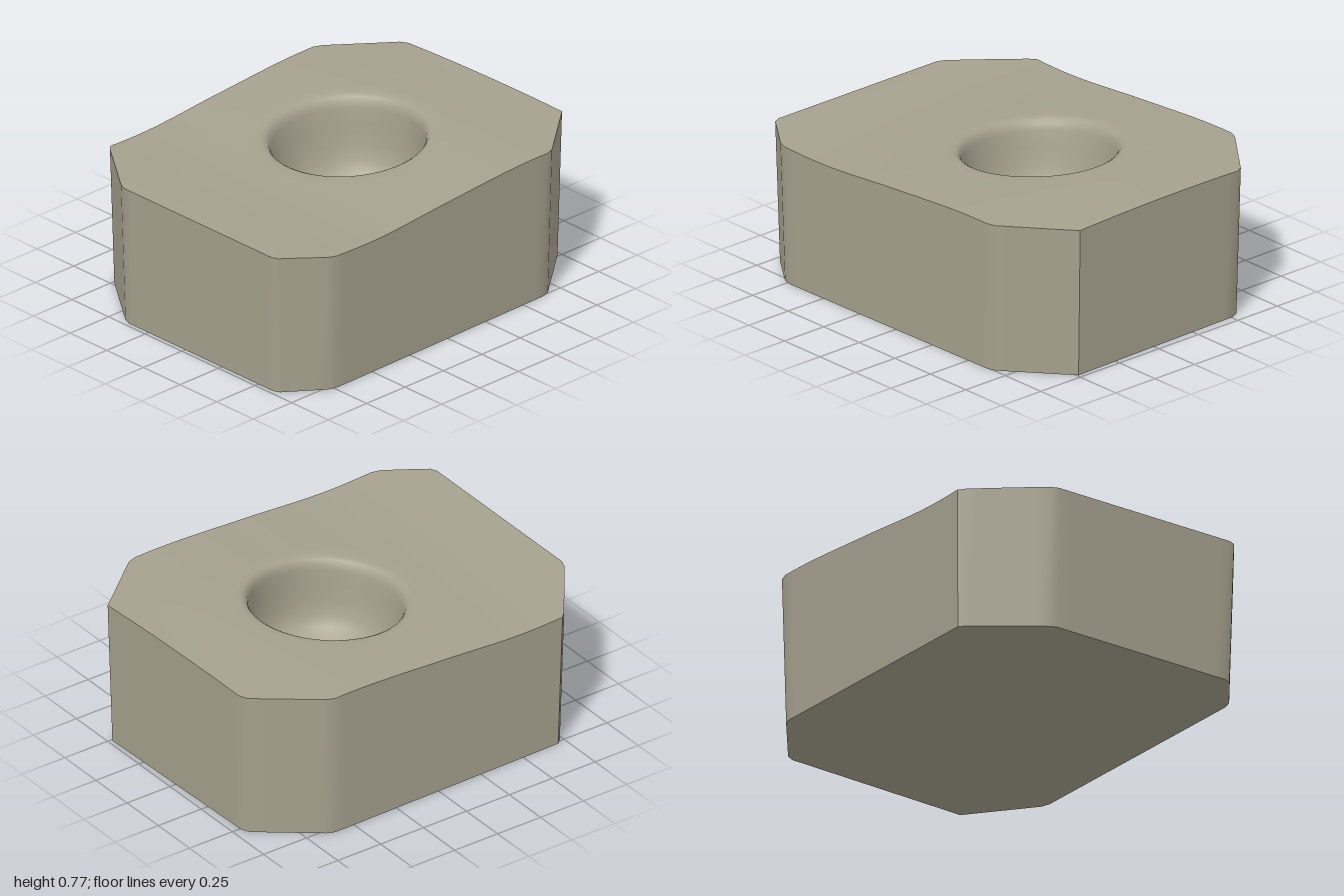
import * as THREE from 'three';
import { toCreasedNormals } from 'three/addons/utils/BufferGeometryUtils.js';

// Top outline of the block as [x, z], with softened corners
const OUTLINE = [
  [-0.72, -0.78], [0.62, -0.803], [0.665, -0.785], [0.955, -0.56], [0.975, -0.52],
  [1.0, 0.5], [0.69, 0.757], [0.645, 0.772], [-0.75, 0.797], [-0.795, 0.783],
  [-0.985, 0.645], [-1.0, 0.61], [-1.0, -0.39], [-0.985, -0.43], [-0.75, -0.752],
];
const RIM = new THREE.Vector2(0.115, -0.04);
const FLOOR = new THREE.Vector2(0.14, 0);

// Cup cross-section: radius and depth below the top surface
const CUP = [
  [0.42, 0], [0.4, 0.004], [0.385, 0.013], [0.373, 0.03], [0.366, 0.06], [0.36, 0.14],
  [0.35, 0.24], [0.335, 0.31], [0.31, 0.36], [0.26, 0.405], [0.19, 0.435], [0.1, 0.452], [0, 0.458],
];

// Gentle S-curve of the top, sagging slightly to front and back
const wave = new THREE.SplineCurve([[-1, 0.715], [-0.5, 0.703], [0, 0.739], [0.5, 0.77], [1, 0.762]]
  .map(([x, y]) => new THREE.Vector2(x, y)));
const topHeight = (x, z) =>
  wave.getPoint(THREE.MathUtils.clamp((x + 1) / 2, 0, 1)).y - 0.025 * z * z * (x + 1) / 1.5;

// Subdivide the outline so the curved top edge is smooth
function outlinePoints() {
  const pts = [];
  OUTLINE.forEach(([x, z], i) => {
    const [x2, z2] = OUTLINE[(i + 1) % OUTLINE.length];
    const n = Math.max(1, Math.ceil(Math.hypot(x2 - x, z2 - z) / 0.06));
    for (let j = 0; j < n; j++) {
      pts.push(new THREE.Vector2(x + (x2 - x) * j / n, z + (z2 - z) * j / n));
    }
  });
  return pts;
}

// Join rings of equal length into one skin
function skin(rings) {
  const pos = [];
  const tri = (...v) => v.forEach(p => pos.push(p.x, p.y, p.z));
  for (let k = 0; k < rings.length - 1; k++) {
    const a = rings[k], b = rings[k + 1], n = a.length;
    for (let j = 0; j < n; j++) {
      const m = (j + 1) % n;
      if (k > 0) tri(a[j], b[j], a[m]);
      if (k < rings.length - 2) tri(a[m], b[j], b[m]);
    }
  }
  const g = new THREE.BufferGeometry();
  g.setAttribute('position', new THREE.Float32BufferAttribute(pos, 3));
  return toCreasedNormals(g, 0.5);
}

export function createModel() {
  const group = new THREE.Group();
  const material = new THREE.MeshStandardMaterial({ color: 0xa6a18e });
  const outer = outlinePoints();
  const dirs = outer.map(p => p.clone().sub(RIM).normalize());

  // Underside and slightly flared side walls
  const rings = [
    outer.map(() => new THREE.Vector3(0, 0, 0)),
    outer.map(p => new THREE.Vector3(p.x * 0.979, 0, p.y * 0.982)),
  ];

  // Wavy top, from the outline in to the cup
  const steps = 10;
  for (let s = 0; s < steps; s++) {
    rings.push(outer.map((p, i) => {
      const q = dirs[i].clone().multiplyScalar(CUP[0][0]).add(RIM);
      q.lerpVectors(p, q.clone(), s / steps);
      return new THREE.Vector3(q.x, topHeight(q.x, q.y), q.y);
    }));
  }

  // Rounded lip and cup, leaning slightly as it goes down
  const depth = CUP[CUP.length - 1][1];
  for (const [r, d] of CUP) {
    const t = Math.min(1, d / depth);
    const c = RIM.clone().lerp(FLOOR, t);
    rings.push(dirs.map(v => {
      const x = c.x + v.x * r, z = c.y + v.y * r;
      return new THREE.Vector3(x, THREE.MathUtils.lerp(topHeight(x, z), 0.745, t) - d, z);
    }));
  }
  const block = new THREE.Mesh(skin(rings), material);
  block.name = 'blockWithCup';
  group.add(block);

  // Small knob on the cup floor
  const knob = new THREE.Mesh(new THREE.SphereGeometry(0.06, 24, 16), material);
  knob.name = 'floorKnob';
  knob.scale.set(1, 0.7, 0.83);
  knob.position.set(FLOOR.x, 0.745 - depth, FLOOR.y);
  group.add(knob);
  return group;
}
